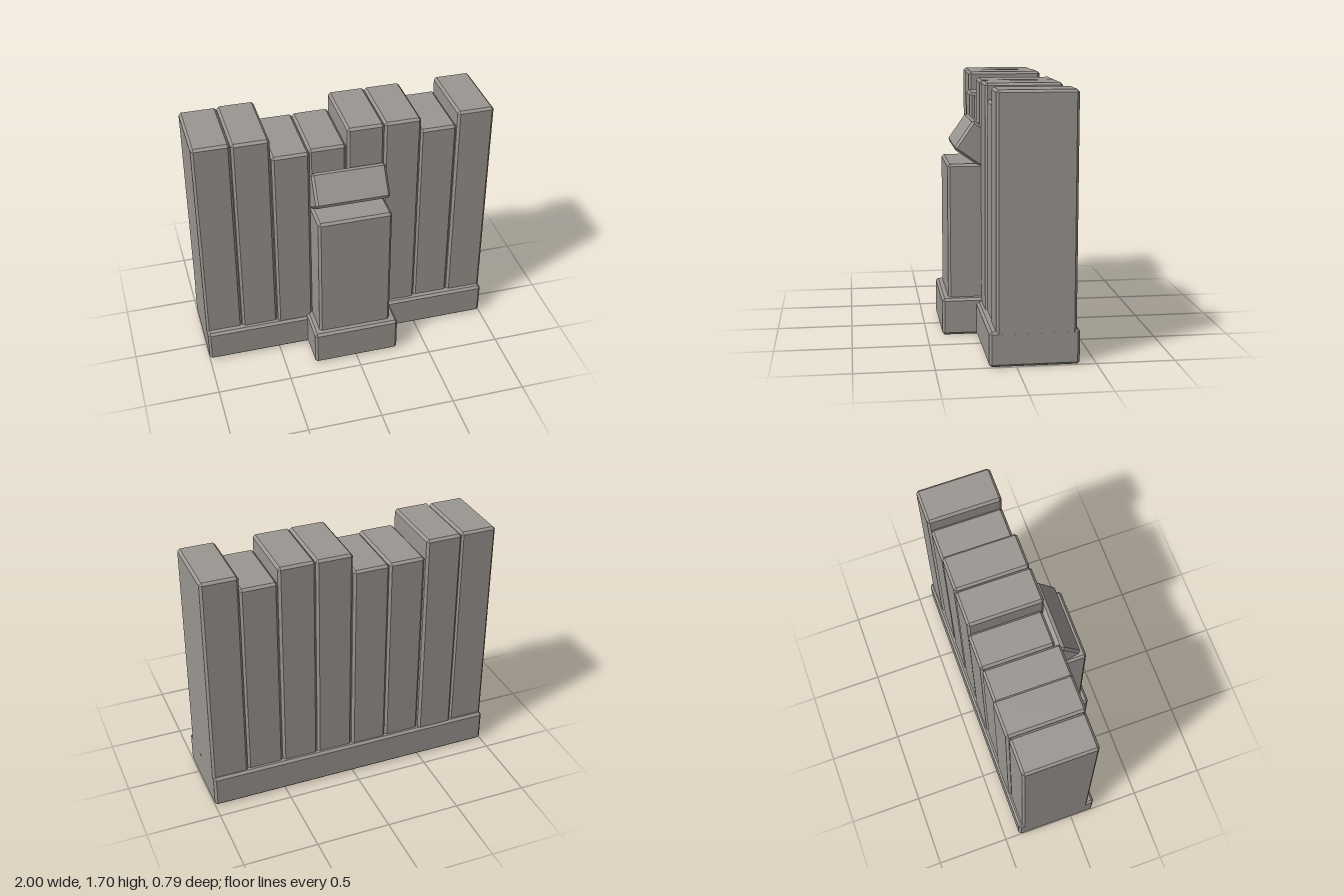
import * as THREE from 'three';
import { ConvexGeometry } from 'three/addons/geometries/ConvexGeometry.js';

// Box with flat 45-degree chamfers on every edge
function chamferedBox(w, h, d, c = 0.016) {
  const points = [];
  for (const sx of [-1, 1]) for (const sy of [-1, 1]) for (const sz of [-1, 1]) {
    const x = w / 2, y = h / 2, z = d / 2;
    points.push(
      new THREE.Vector3(sx * x, sy * (y - c), sz * (z - c)),
      new THREE.Vector3(sx * (x - c), sy * y, sz * (z - c)),
      new THREE.Vector3(sx * (x - c), sy * (y - c), sz * z));
  }
  return new ConvexGeometry(points);
}

export function createModel() {
  const model = new THREE.Group();
  model.name = 'stoneWall';
  const stone = new THREE.MeshStandardMaterial({ color: 0x9b9691 });
  stone.name = 'grey stone';

  // Adds a block spanning the given [min, max] ranges
  function block(name, [x0, x1], [y0, y1], [z0, z1]) {
    const mesh = new THREE.Mesh(chamferedBox(x1 - x0, y1 - y0, z1 - z0), stone);
    mesh.position.set((x0 + x1) / 2, (y0 + y1) / 2, (z0 + z1) / 2);
    mesh.name = name;
    model.add(mesh);
  }

  // Footings
  block('wallFooting', [-1, 1], [0, 0.225], [-0.397, 0.168]);
  block('buttressFooting', [-0.295, 0.295], [0, 0.25], [-0.1, 0.397]);

  // Upright slabs, left to right: top, back, front
  const slabs = [
    [1.7, -0.37, 0.12], [1.7, -0.383, 0.13], [1.575, -0.367, 0.15], [1.575, -0.373, 0.12],
    [1.7, -0.367, 0.138], [1.7, -0.367, 0.132], [1.6, -0.365, 0.12], [1.7, -0.376, 0.126],
  ];
  slabs.forEach(([top, back, front], i) => {
    const x = -1 + i * 0.2502;
    block(`wallSlab${i + 1}`, [x, Math.min(x + 0.2485, 1)], [0.05, top], [back, front]);
  });

  // Buttress shaft
  block('buttress', [-0.252, 0.248], [0.1, 1.15], [-0.1, 0.352]);

  // Tilted cap stone above the buttress
  const cap = new THREE.Mesh(chamferedBox(0.5, 0.23, 0.22), stone);
  cap.position.set(-0.002, 1.282, 0.155);
  cap.rotation.x = -0.61;
  cap.name = 'buttressCap';
  model.add(cap);

  return model;
}
